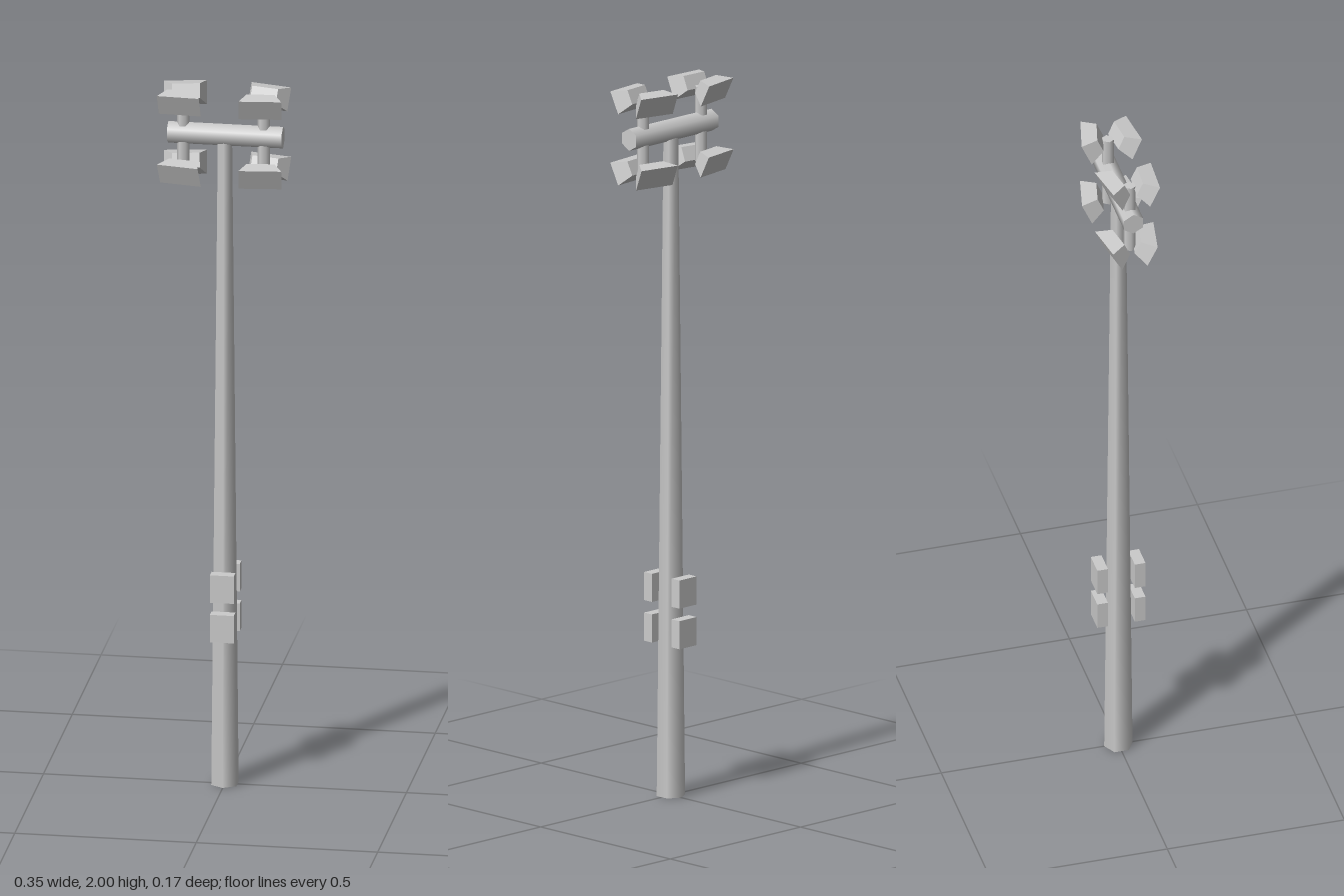
import * as THREE from 'three';

const material = new THREE.MeshStandardMaterial({ color: 0xcccccc });

function add(parent, name, geometry, x, y, z) {
  const mesh = new THREE.Mesh(geometry, material);
  mesh.name = name;
  mesh.position.set(x, y, z);
  parent.add(mesh);
  return mesh;
}

// Floodlight housing: wide front face at z = 0, narrowing towards the back
function housingGeometry() {
  const depth = 0.042;
  const geo = new THREE.BoxGeometry(0.117, 0.066, depth);
  geo.translate(0, 0, -depth / 2);
  const pos = geo.attributes.position;
  for (let i = 0; i < pos.count; i++) {
    if (pos.getZ(i) < -depth / 2) {
      pos.setX(i, pos.getX(i) * 0.65);
      pos.setY(i, pos.getY(i) * 0.62);
    }
  }
  geo.computeVertexNormals();
  return geo;
}

export function createModel() {
  const group = new THREE.Group();

  // Tapered six-sided mast
  add(group, 'mast', new THREE.CylinderGeometry(0.021, 0.04, 1.85, 6), 0, 0.925, 0);

  // Crossbar
  const bar = new THREE.CylinderGeometry(0.031, 0.031, 0.316, 6, 1, false, Math.PI / 6);
  bar.rotateZ(Math.PI / 2);
  add(group, 'crossbar', bar, 0.002, 1.868, 0);

  // Upright posts through the crossbar
  const post = new THREE.CylinderGeometry(0.017, 0.017, 0.21, 6, 1, false, Math.PI / 6);
  for (const x of [-0.115, 0.107]) add(group, 'lampPost', post, x, 1.865, 0);

  // Floodlights, tilted down and each turned a little: x, z, yaw of upper, yaw of lower
  const housing = housingGeometry();
  const lamps = [
    [-0.118, 0.058, -0.05, -0.17],
    [0.106, 0.06, 0.11, 0.11],
    [-0.118, -0.06, Math.PI + 0.19, Math.PI + 0.17],
    [0.113, -0.06, Math.PI - 0.24, Math.PI - 0.22],
  ];
  for (const [x, z, upperYaw, lowerYaw] of lamps) {
    for (const [y, yaw] of [[1.963, upperYaw], [1.763, lowerYaw]]) {
      const lamp = add(group, 'floodlight', housing, x, y, z);
      lamp.rotation.set(0.43, yaw, 0, 'YXZ');
    }
  }

  // Control boxes on the front and back of the mast
  const box = new THREE.BoxGeometry(0.066, 0.079, 0.03);
  for (const z of [0.053, -0.053]) {
    for (const y of [0.467, 0.581]) add(group, 'controlBox', box, 0.002, y, z);
  }

  return group;
}
